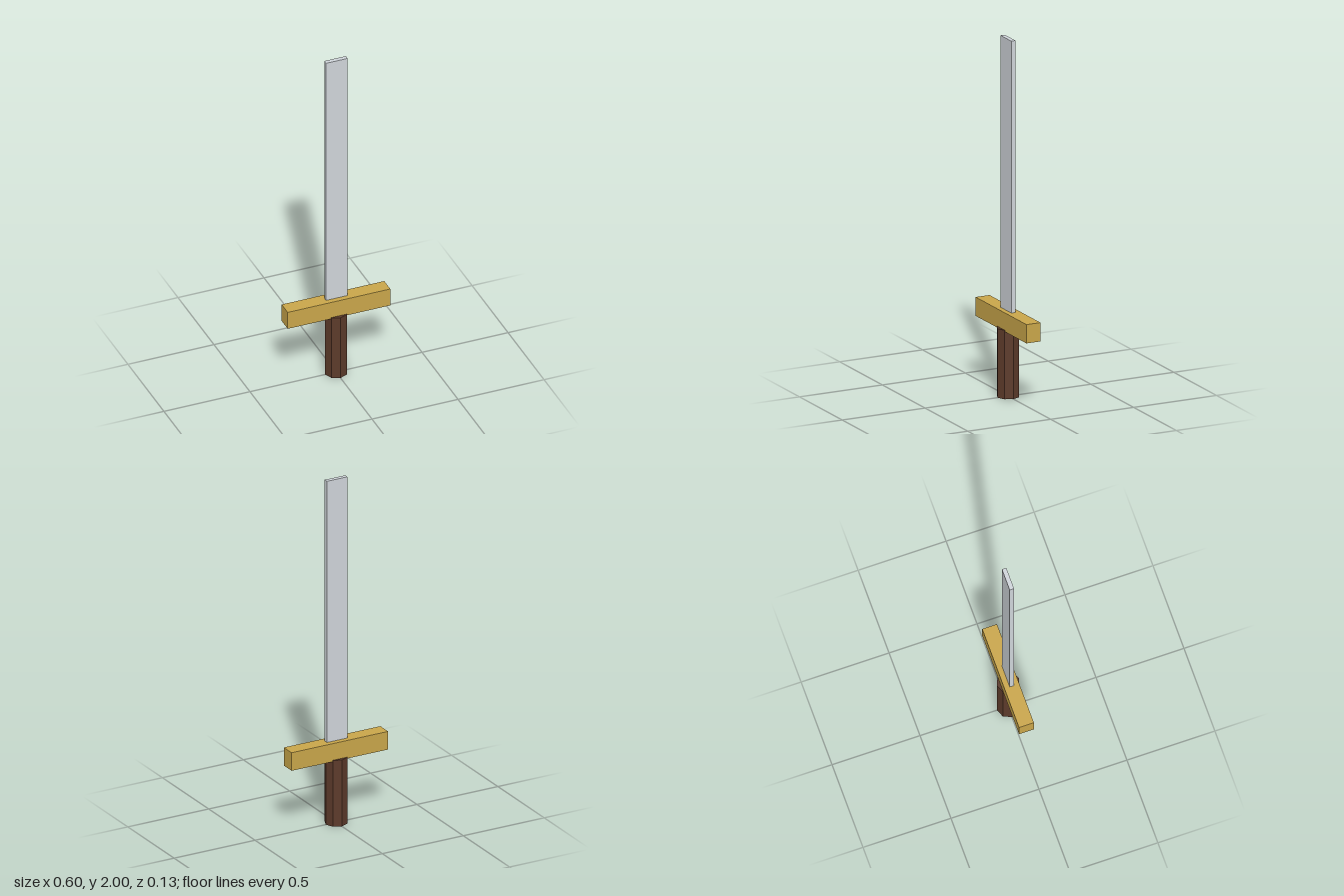
import * as THREE from 'three';

export function createModel() {
  const sword = new THREE.Group();
  sword.name = 'sword';

  // Adds a part whose underside sits at the given height
  function addPart(name, geometry, color, bottom, height) {
    const material = new THREE.MeshStandardMaterial({ color, flatShading: true });
    const mesh = new THREE.Mesh(geometry, material);
    mesh.name = name;
    mesh.position.y = bottom + height / 2;
    sword.add(mesh);
  }

  // Octagonal grip, its top sunk slightly into the guard
  addPart('grip', new THREE.CylinderGeometry(0.063, 0.063, 0.385, 8), 0x5c3a2a, 0, 0.385);

  // Crossguard bar
  addPart('crossguard', new THREE.BoxGeometry(0.596, 0.105, 0.084), 0xc9a64a, 0.377, 0.105);

  // Flat, square-ended blade
  addPart('blade', new THREE.BoxGeometry(0.126, 1.52, 0.025), 0xd0d5da, 0.48, 1.52);

  return sword;
}
